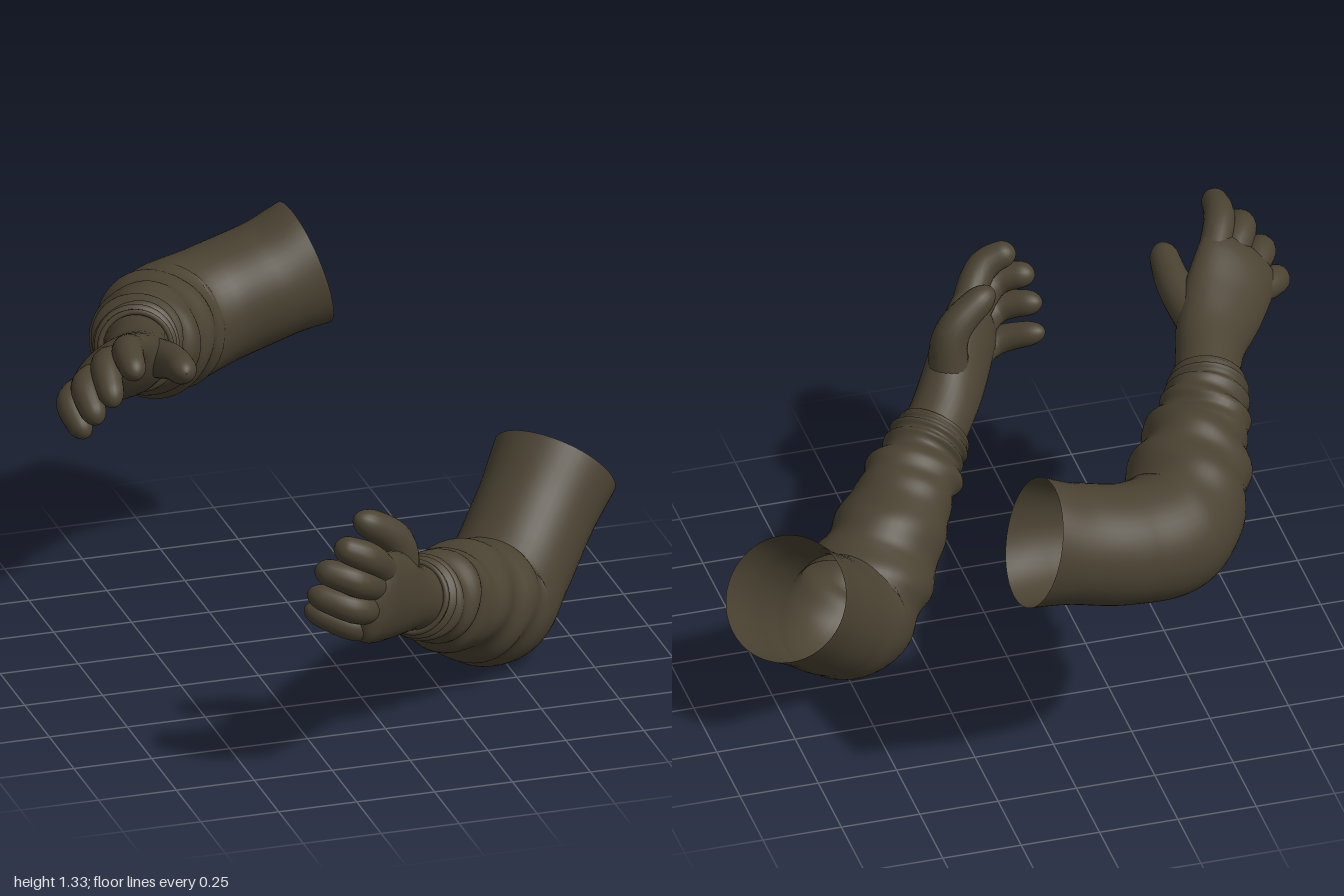
import * as THREE from 'three';

const fabric = new THREE.MeshStandardMaterial({ color: 0x4a4232, side: THREE.DoubleSide });
fabric.name = 'dark olive fabric';

const vec = p => new THREE.Vector3(...p);

// Smooth tube along points with elliptical sections [halfWidth, halfThickness].
// widthDir orients the ellipse; cap (0..1) is the share of the length rounded off at the end.
function loft(name, points, radii, widthDir, { steps = 24, sides = 20, cap = 0, bump = () => 0 } = {}) {
  const path = new THREE.CatmullRomCurve3(points, false, 'centripetal');
  const size = new THREE.CatmullRomCurve3(radii.map(([w, t]) => new THREE.Vector3(w, t, 0)));
  const pos = [], idx = [];
  for (let i = 0; i <= steps; i++) {
    const u = i / steps;
    const t = cap ? 1 - (1 - u) ** 2 : u;
    const c = path.getPoint(t), d = path.getTangent(t), r = size.getPoint(t);
    const w = widthDir.clone().addScaledVector(d, -widthDir.dot(d)).normalize();
    const n = d.clone().cross(w);
    const k = t > 1 - cap ? Math.sqrt(Math.max(0.0004, 1 - ((t - 1 + cap) / cap) ** 2)) : 1;
    for (let j = 0; j < sides; j++) {
      const a = j / sides * Math.PI * 2, b = bump(t, a);
      const p = c.clone()
        .addScaledVector(w, Math.cos(a) * (r.x * k + b))
        .addScaledVector(n, Math.sin(a) * (r.y * k + b));
      pos.push(p.x, p.y, p.z);
      if (i < steps) {
        const j2 = (j + 1) % sides, A = i * sides, B = A + sides;
        idx.push(A + j, A + j2, B + j2, A + j, B + j2, B + j);
      }
    }
  }
  const g = new THREE.BufferGeometry();
  g.setAttribute('position', new THREE.Float32BufferAttribute(pos, 3));
  g.setIndex(idx);
  g.computeVertexNormals();
  const mesh = new THREE.Mesh(g, fabric);
  mesh.name = name;
  return mesh;
}

// Cloth folds: bunched rings near the cuff, softer slanted creases from the elbow on
function folds(t, a) {
  const s = THREE.MathUtils.smoothstep;
  const rings = s(t, 0.7, 0.8) * (1 - s(t, 0.97, 1)) * 0.008 * Math.sin(t * 95 + 1.1 * Math.sin(a + 1));
  const slant = s(t, 0.38, 0.55) * (1 - s(t, 0.8, 0.95)) *
    (0.007 * Math.sin(t * 48 + 2 * Math.sin(a)) + 0.004 * Math.sin(t * 30 - 3 * a));
  return rings + slant;
}

// Section sizes shared by both arms
const round = r => [r, r];
const sleeveRadii = [0.187, 0.188, 0.198, 0.188, 0.163, 0.127, 0.115].map(round);
const palmRadii = [[0.1, 0.1], [0.105, 0.098], [0.12, 0.095], [0.141, 0.085], [0.145, 0.07], [0.13, 0.05]];
const thumbRadii = [0.068, 0.056, 0.042].map(round);
const fingerRadii = [0.05, 0.049, 0.038];

// Fingers: offset of the root across the palm, and thickness
const fingerKinds = [
  ['indexFinger', 0.085, 1], ['middleFinger', 0.03, 1],
  ['ringFinger', -0.03, 0.98], ['littleFinger', -0.08, 0.93],
];

function buildArm(name, { sleeveDir, opening, sleeve, handDir, palm, fingers, thumb }) {
  const arm = new THREE.Group();
  arm.name = name;
  const sleevePoints = sleeve.map(vec);
  const [innerCuff, cuff] = sleevePoints.slice(-2);
  const across = vec(handDir).normalize();

  // Open sleeve, then the gloved palm tucked into its cuff
  arm.add(loft('sleeve', sleevePoints, [opening, ...sleeveRadii], vec(sleeveDir), { steps: 150, sides: 48, bump: folds }));
  const palmPoints = [innerCuff, ...palm.map(vec)];
  arm.add(loft('glovePalm', palmPoints, palmRadii, across, { steps: 40, sides: 36, cap: 0.14 }));

  // Fingers rooted in a row across the palm
  const row = palmPoints[3].clone().lerp(palmPoints[4], 0.7);
  fingerKinds.forEach(([label, offset, scale], i) => {
    const root = row.clone().addScaledVector(across, offset);
    const radii = fingerRadii.map(r => round(r * scale));
    arm.add(loft(label, [root, ...fingers[i].map(vec)], radii, across, { cap: 0.17 }));
  });
  const thumbRoot = palmPoints[2].clone().addScaledVector(across, 0.035);
  arm.add(loft('thumb', [thumbRoot, ...thumb.map(vec)], thumbRadii, across, { cap: 0.17 }));

  // Rolled hem where the sleeve meets the glove
  const hem = new THREE.Mesh(new THREE.TorusGeometry(0.109, 0.009, 8, 48), fabric);
  hem.name = 'cuffHem';
  hem.position.copy(cuff);
  hem.lookAt(cuff.clone().multiplyScalar(2).sub(innerCuff));
  arm.add(hem);
  return arm;
}

export function createModel() {
  const model = new THREE.Group();
  model.name = 'pairOfGlovedArms';
  model.add(buildArm('rightArm', {
    sleeveDir: [0, 1, 0],
    opening: [0.208, 0.18],
    sleeve: [
      [0.155, 0.99, -0.82], [0.02, 0.95, -0.805], [-0.15, 0.905, -0.785], [-0.31, 0.885, -0.72],
      [-0.41, 0.93, -0.56], [-0.48, 0.98, -0.42], [-0.55, 1.035, -0.29], [-0.575, 1.055, -0.22]],
    handDir: [0.17, 0.17, 0.07],
    palm: [[-0.6, 1.07, -0.14], [-0.64, 1.09, -0.04], [-0.71, 1.13, 0.07], [-0.78, 1.18, 0.17], [-0.82, 1.205, 0.25]],
    fingers: [
      [[-0.765, 1.285, 0.3], [-0.785, 1.27, 0.45]], [[-0.83, 1.24, 0.29], [-0.85, 1.17, 0.43]],
      [[-0.885, 1.165, 0.26], [-0.885, 1.095, 0.38]], [[-0.915, 1.095, 0.2], [-0.9, 1.02, 0.31]]],
    thumb: [[-0.58, 1.165, 0.15], [-0.585, 1.2, 0.33]],
  }));
  model.add(buildArm('leftArm', {
    sleeveDir: [1, 0, 1],
    opening: [0.2, 0.198],
    sleeve: [
      [0.765, 0.495, -0.2], [0.66, 0.375, -0.1], [0.56, 0.265, 0], [0.475, 0.203, 0.085],
      [0.37, 0.26, 0.2], [0.25, 0.345, 0.345], [0.12, 0.435, 0.515], [0.065, 0.47, 0.575]],
    handDir: [0.02, 0.21, 0.03],
    palm: [[0.03, 0.495, 0.62], [-0.02, 0.53, 0.69], [-0.08, 0.58, 0.78], [-0.14, 0.62, 0.87], [-0.19, 0.65, 0.94]],
    fingers: [
      [[-0.2, 0.795, 0.945], [-0.3, 0.845, 0.94]], [[-0.24, 0.725, 0.955], [-0.355, 0.765, 0.91]],
      [[-0.24, 0.63, 0.945], [-0.37, 0.675, 0.88]], [[-0.22, 0.545, 0.895], [-0.365, 0.6, 0.83]]],
    thumb: [[-0.035, 0.73, 0.715], [-0.175, 0.845, 0.755]],
  }));
  return model;
}
